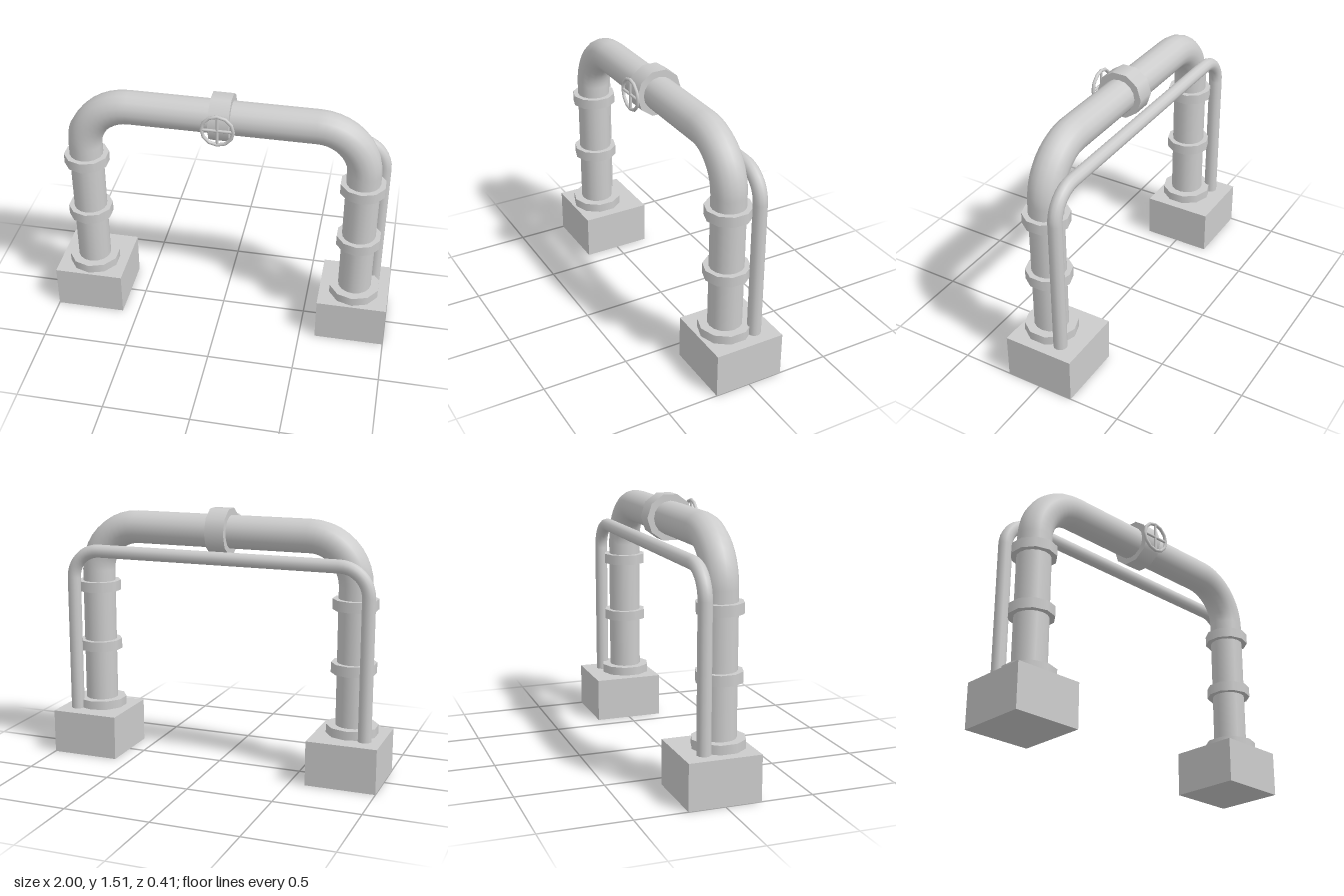
import * as THREE from 'three';

export function createModel() {
  const model = new THREE.Group();
  const grey = new THREE.MeshStandardMaterial({ color: 0xcccccc });
  grey.name = 'plain grey';

  const add = (name, geometry, x, y, z, parent = model) => {
    const mesh = new THREE.Mesh(geometry, grey);
    mesh.name = name;
    mesh.position.set(x, y, z);
    parent.add(mesh);
    return mesh;
  };

  // Arch of pipe: two legs, two quarter-round elbows and a crossbar
  const addArch = (name, { halfSpan, bottom, top, z, radius, bend, sides }) => {
    const arch = new THREE.Group();
    arch.name = name;
    const legLength = top - bend - bottom;
    for (const s of [-1, 1]) {
      add(name + 'Leg', new THREE.CylinderGeometry(radius, radius, legLength, sides, 1, true),
        s * halfSpan, bottom + legLength / 2, z, arch);
      const elbow = add(name + 'Elbow', new THREE.TorusGeometry(bend, radius, sides, 10, Math.PI / 2),
        s * (halfSpan - bend), top - bend, z, arch);
      if (s < 0) elbow.rotation.y = Math.PI;
    }
    const bar = add(name + 'Crossbar',
      new THREE.CylinderGeometry(radius, radius, 2 * (halfSpan - bend), sides, 1, true), 0, top, z, arch);
    bar.rotation.z = Math.PI / 2;
    model.add(arch);
  };

  const legX = 0.797, pipeZ = 0.04, pipeY = 1.376;
  addArch('mainPipe', { halfSpan: legX, bottom: 0.25, top: pipeY, z: pipeZ, radius: 0.097, bend: 0.267, sides: 16 });
  addArch('thinPipe', { halfSpan: 0.901, bottom: 0.25, top: 1.237, z: -0.084, radius: 0.039, bend: 0.167, sides: 12 });

  // Footing blocks and the collars on each leg
  for (const s of [-1, 1]) {
    add('footing', new THREE.BoxGeometry(0.406, 0.26, 0.41), s * legX, 0.13, 0);
    add('baseFlange', new THREE.CylinderGeometry(0.15, 0.15, 0.052, 10), s * legX, 0.286, pipeZ);
    for (const y of [0.648, 1.012]) {
      add('collar', new THREE.CylinderGeometry(0.13, 0.13, 0.06, 10), s * legX, y, pipeZ);
    }
  }

  // Valve body around the middle of the crossbar
  const valve = add('valveBody', new THREE.CylinderGeometry(0.137, 0.137, 0.115, 10), 0, pipeY + 0.002, pipeZ);
  valve.rotation.z = Math.PI / 2;

  // Handwheel with crossed spokes
  const wheel = new THREE.Group();
  wheel.name = 'handwheel';
  wheel.position.set(0, pipeY + 0.002, 0.19);
  add('wheelRim', new THREE.TorusGeometry(0.088, 0.01, 8, 12), 0, 0, 0, wheel);
  for (const turn of [0, Math.PI / 2]) {
    const spoke = add('spoke', new THREE.CylinderGeometry(0.008, 0.008, 0.176, 8), 0, 0, 0, wheel);
    spoke.rotation.z = turn;
  }
  model.add(wheel);

  return model;
}
